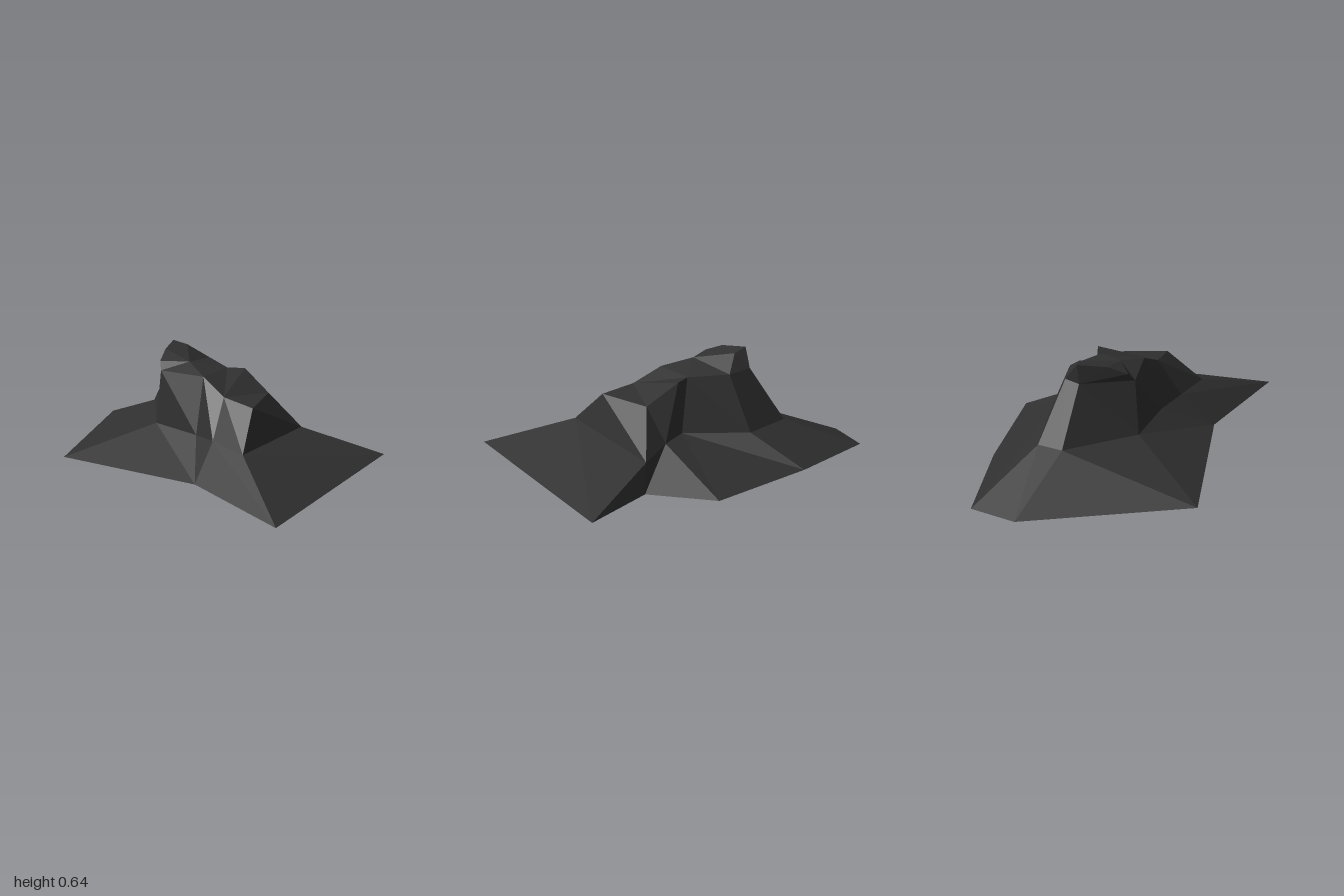
import * as THREE from 'three';

// Matching outlines, counter-clockwise from above, starting at the front right
const foot = [[-.89, 0, .31], [.04, 0, .49], [.04, 0, .49], [.64, 0, .93], [1, 0, -.37],
  [.56, 0, -.36], [.36, 0, -.73], [-.3, 0, -.87], [-.87, 0, -.93], [-1, 0, -.68]];
const shoulder = [[-.39, .18, 0], [-.07, .18, .15], [.08, .2, .28], [.31, .19, .43], [.48, .15, -.3],
  [.27, .19, -.27], [.08, .19, -.24], [-.19, .19, -.55], [-.51, .19, -.58], [-.58, .19, -.44]];
const rim = [[-.36, .52, -.02], [-.06, .52, .04], [.1, .43, .13], [.3, .4, .2], [.3, .4, -.15],
  [.12, .52, -.24], [.01, .52, -.22], [-.17, .53, -.4], [-.35, .53, -.42], [-.4, .52, -.34]];

// Triangles joining two outlines
function band(lower, upper) {
  const tris = [];
  lower.forEach((a, i) => {
    const j = (i + 1) % lower.length;
    if (a !== lower[j] && a.join() !== lower[j].join()) tris.push([a, lower[j], upper[i]]);
    tris.push([lower[j], upper[j], upper[i]]);
  });
  return tris;
}

// Jagged summit above the rim
function summitFaces() {
  const peak = [-.4, .64, -.35], ridge = [-.39, .62, -.18], step = [-.38, .57, -.06];
  const back = [-.3, .62, -.34], knob = [-.2, .57, -.1];
  const r = rim;
  return [
    // right-hand wall and back of the peak
    [r[9], r[0], step], [r[9], step, ridge], [r[9], ridge, peak],
    [r[8], r[9], peak], [r[8], peak, back], [r[7], r[8], back],
    // sloping top of the peak
    [r[0], r[1], knob], [r[0], knob, step], [step, knob, ridge], [ridge, knob, back],
    [ridge, back, peak], [knob, r[7], back], [r[6], r[7], knob], [r[1], r[6], knob],
    // lower ledge
    [r[1], r[2], r[6]], [r[2], r[5], r[6]], [r[2], r[4], r[5]], [r[2], r[3], r[4]],
  ];
}

function facetedMesh(name, tris, material) {
  const geometry = new THREE.BufferGeometry();
  geometry.setAttribute('position', new THREE.Float32BufferAttribute(tris.flat(2), 3));
  geometry.computeVertexNormals();
  const mesh = new THREE.Mesh(geometry, material);
  mesh.name = name;
  return mesh;
}

export function createModel() {
  const group = new THREE.Group();
  group.name = 'rock';
  const stone = new THREE.MeshStandardMaterial({ color: 0x303030 });
  stone.name = 'dark stone';

  group.add(facetedMesh('lowerSlope', band(foot, shoulder), stone));
  group.add(facetedMesh('cliff', band(shoulder, rim), stone));
  group.add(facetedMesh('summit', summitFaces(), stone));

  // Flat underside, facing down
  const outline = new THREE.Shape(foot.filter((p, i) => i !== 2).map(([x, , z]) => new THREE.Vector2(x, z)));
  const underside = new THREE.Mesh(new THREE.ShapeGeometry(outline).rotateX(Math.PI / 2), stone);
  underside.name = 'underside';
  group.add(underside);
  return group;
}
